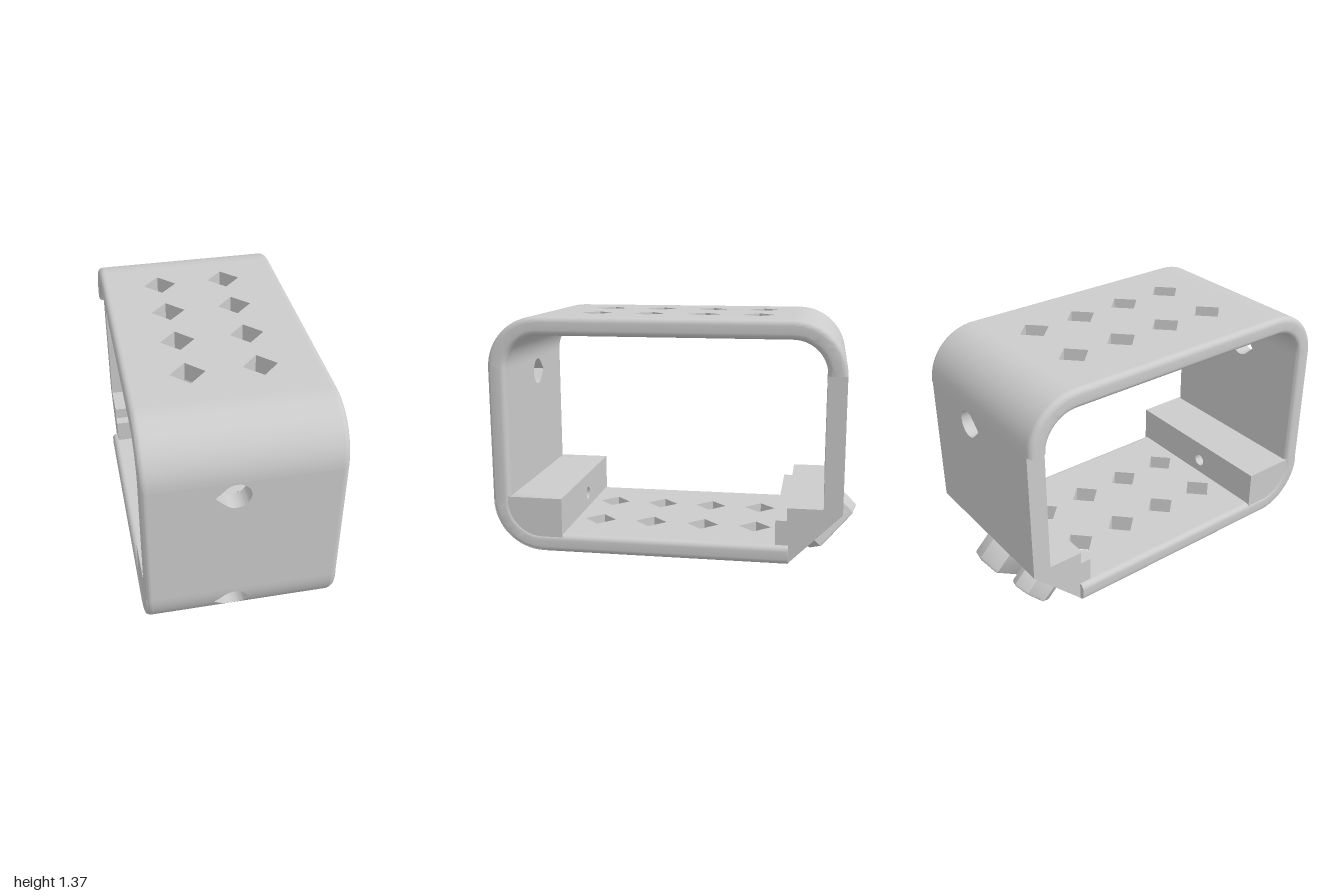
import * as THREE from 'three';
import { toCreasedNormals } from 'three/addons/utils/BufferGeometryUtils.js';

const W = 0.475, E = 0.505, T = 0.1, R = 0.28, HOLE = 0.073;
const LOW = 0.095, HIGH = 1.385, FRONT = 1.0, BACK = -0.9;
const V3 = (x, y, z) => new THREE.Vector3(x, y, z);

export function createModel() {
  const model = new THREE.Group();
  const mat = new THREE.MeshStandardMaterial({ color: 0xcccccc, side: THREE.DoubleSide });
  const add = (name, geo, parent = model) => {
    const mesh = new THREE.Mesh(toCreasedNormals(geo, 0.6), mat);
    mesh.name = name;
    parent.add(mesh);
    return mesh;
  };

  // surface through rows of points
  const grid = (rows) => {
    const n = rows[0].length, index = [];
    for (let i = 0; i < rows.length - 1; i++)
      for (let j = 0; j < n - 1; j++) {
        const a = i * n + j;
        index.push(a, a + 1, a + n, a + 1, a + n + 1, a + n);
      }
    const geo = new THREE.BufferGeometry().setFromPoints(rows.flat());
    geo.setIndex(index);
    return geo;
  };

  // rounded corner as path points with inward direction: [z, y, nz, ny]
  const corner = (cz, cy, a0, a1) => Array.from({ length: 17 }, (_, i) => {
    const a = (a0 + (a1 - a0) * i / 16) * Math.PI / 180;
    return [cz + R * Math.cos(a), cy + R * Math.sin(a), -Math.cos(a), -Math.sin(a)];
  });
  const loft = (path, section) => grid(path.map(([z, y, nz, ny]) =>
    [...section, section[0]].map(([x, d]) => V3(x, y + ny * d, z + nz * d))));

  const frontLow = corner(0.72, LOW + R, -90, 0);
  const frontTop = corner(0.72, HIGH - R, 0, 90);
  const backTop = corner(-0.62, HIGH - R, 90, 180);
  const strip = [[-W, 0], [W, 0], [W, T], [-W, T]];
  add('frontTopCorner', loft(frontTop, strip));
  add('backTopCorner', loft(backTop, strip));

  // rounded rims on both open ends
  const path = [[-0.62, LOW, 0, 1], ...frontLow, ...frontTop, ...backTop];
  const f = E - W, rim = [];
  for (let i = 0; i <= 6; i++) {
    const a = i / 6 * Math.PI / 2;
    rim.push([W + f * Math.sin(a), f - f * Math.cos(a)]);
  }
  const rimSection = [...rim, ...rim.map(([x, d]) => [x, T - d]).reverse()];
  for (const s of [1, -1]) {
    add('endRim', loft(path, rimSection.map(([x, d]) => [s * x, d])));
    for (const [z, y, nz, ny] of [path[0], path[path.length - 1]]) {
      const cap = new THREE.ShapeGeometry(new THREE.Shape(rimSection.map(([x, d]) => new THREE.Vector2(s * x, d))));
      cap.applyMatrix4(new THREE.Matrix4().makeBasis(V3(1, 0, 0), V3(0, ny, nz), V3(0, -nz, ny)).setPosition(0, y, z));
      add('rimCap', cap);
    }
  }

  // teardrop outline, tip towards -x: left and right edge at height dy
  const tearLeft = (dy) => {
    const d = Math.abs(dy);
    if (d >= HOLE) return 0;
    return d < HOLE / Math.SQRT2 ? d - HOLE * Math.SQRT2 : -Math.sqrt(HOLE * HOLE - d * d);
  };
  const tearRight = (dy) => Math.sqrt(Math.max(0, HOLE * HOLE - dy * dy));
  const tearYs = Array.from({ length: 25 }, (_, i) => HOLE * Math.sin((i / 24 - 0.5) * Math.PI));
  const teardrop = (cx, cy) => new THREE.Path([
    ...tearYs.map((d) => new THREE.Vector2(cx + tearRight(d), cy + d)),
    ...tearYs.slice(1, -1).reverse().map((d) => new THREE.Vector2(cx + tearLeft(d), cy + d)),
    ]);
  const diamond = (x, y, r = 0.09) => new THREE.Path([[r, 0], [0, r], [-r, 0], [0, -r]]
    .map(([a, b]) => new THREE.Vector2(x + a, y + b)));
  const round = (x, y, r = 0.037) => new THREE.Path().absarc(x, y, r, 0, Math.PI * 2);

  // flat plate with holes, outline in x and v
  const plate = (v0, v1, depth, holes, w = W) => {
    const s = new THREE.Shape([[-w, v0], [w, v0], [w, v1], [-w, v1]].map((p) => new THREE.Vector2(...p)));
    s.holes = holes;
    return new THREE.ExtrudeGeometry(s, { depth, bevelEnabled: false, curveSegments: 16 });
  };

  // top and bottom with diamond holes
  for (const [name, y] of [['topPanel', HIGH], ['bottomPanel', LOW + T]]) {
    const holes = [];
    for (const x of [-0.183, 0.183]) for (let i = 0; i < 4; i++) holes.push(diamond(x, -0.42 + i * 0.298));
    add(name, plate(-0.62, 0.72, T, holes).rotateX(Math.PI / 2).translate(0, y, 0));
  }
  // front and back walls with teardrop holes
  add('frontWall', plate(LOW + R, HIGH - R, T, [teardrop(-0.045, 1.02)]).translate(0, 0, FRONT - T));
  add('backWall', plate(0.375, HIGH - R, T, [teardrop(0.095, 1.02)]).translate(0, 0, BACK));

  // curved or sloped skin with a teardrop pocket sunk to a floor
  const pocketSkin = (name, zOf, baseYs, cx, cy, floor) => {
    const ys = [...baseYs, ...tearYs.map((d) => cy + d)].sort((a, b) => a - b);
    for (const [edge, side] of [[tearLeft, -W], [tearRight, W]]) {
      add(name, grid(ys.map((y) => [V3(side, y, zOf(y)), V3(cx + edge(y - cy), y, zOf(y))])));
      add('screwPocket', grid(tearYs.map((d) => {
        const x = cx + edge(d), y = cy + d;
        return [V3(x, y, zOf(y)), V3(x, y, floor)];
      })));
    }
  };
  const box = (name, y0, y1, z0, z1, w = W) => add(name,
    new THREE.BoxGeometry(2 * w, y1 - y0, z1 - z0).translate(0, (y0 + y1) / 2, (z0 + z1) / 2));
  // end cheek: outline in z and y, extruded along x on both sides
  const cheeks = (name, shape, x0, x1) => {
    for (const x of [x0, -x1])
      add(name, new THREE.ExtrudeGeometry(shape, { depth: x1 - x0, bevelEnabled: false, curveSegments: 20 })
        .rotateY(-Math.PI / 2).translate(x + x1 - x0, 0, 0)
        .applyMatrix4(new THREE.Matrix4()));
  };

  // front screw block in the lower corner
  const arcZ = (y) => 0.72 + Math.sqrt(Math.max(0, R * R - (LOW + R - y) ** 2));
  pocketSkin('frontLowerCorner', arcZ, frontLow.map((p) => p[1]), -0.045, 0.28, 0.8);
  add('frontBlock', plate(0.15, 0.4, 0.19, [round(-0.045, 0.28)]).translate(0, 0, 0.61));
  box('frontBlockTop', 0.36, 0.4, 0.8, 0.92);
  const fs = new THREE.Shape();
  fs.moveTo(0.61, 0.4);
  fs.lineTo(0.61, 0.12);
  fs.lineTo(0.72, 0.105);
  fs.absarc(0.72, LOW + R, 0.27, -Math.PI / 2, 0);
  fs.lineTo(0.92, 0.4);
  cheeks('frontBlockEnd', fs, 0.44, 0.5);

  // back screw block behind the sloped face
  const slopeZ = (y) => -0.62 - (y - LOW);
  pocketSkin('slopedFace', slopeZ, [LOW, 0.375], 0.095, 0.28, -0.66);
  add('backBlock', plate(0.15, 0.33, 0.11, [round(0.095, 0.28)]).translate(0, 0, -0.66));
  box('backBlockStep', 0.325, 0.4, -0.7, -0.61);
  box('backBlockTop', 0.36, 0.4, -0.88, -0.7);
  cheeks('backBlockEnd', new THREE.Shape([[-0.55, LOW], [-0.55, 0.33], [-0.61, 0.33], [-0.61, 0.4],
    [-0.9, 0.4], [-0.9, 0.375], [-0.62, LOW]].map((p) => new THREE.Vector2(...p))), 0.44, W);

  // pair of slanted clip jaws standing on the sloped face: x and distance up the slope
  const clips = new THREE.Group();
  clips.name = 'clip';
  const h = Math.SQRT1_2;
  clips.applyMatrix4(new THREE.Matrix4().makeBasis(V3(-1, 0, 0), V3(0, h, -h), V3(0, -h, -h))
    .setPosition(0, LOW, -0.62));
  const jaws = {
    longJaw: [[0.13, 0.11], [-0.01, 0.02], [-0.07, 0.08], [-0.19, 0.35], [-0.06, 0.39], [0.03, 0.36]],
    shortJaw: [[-0.13, 0.06], [-0.2, 0.01], [-0.3, 0.01], [-0.36, 0.1], [-0.34, 0.22], [-0.27, 0.27], [-0.22, 0.25]],
  };
  for (const [name, pts] of Object.entries(jaws)) {
    const s = new THREE.Shape(pts.map(([x, y]) => new THREE.Vector2(-x, y)));
    add(name, new THREE.ExtrudeGeometry(s, {
      depth: 0.13, bevelThickness: 0.015, bevelSize: 0.012, bevelOffset: -0.012, bevelSegments: 2,
    }).translate(0, 0, -0.01), clips);
  }
  model.add(clips);
  return model;
}
